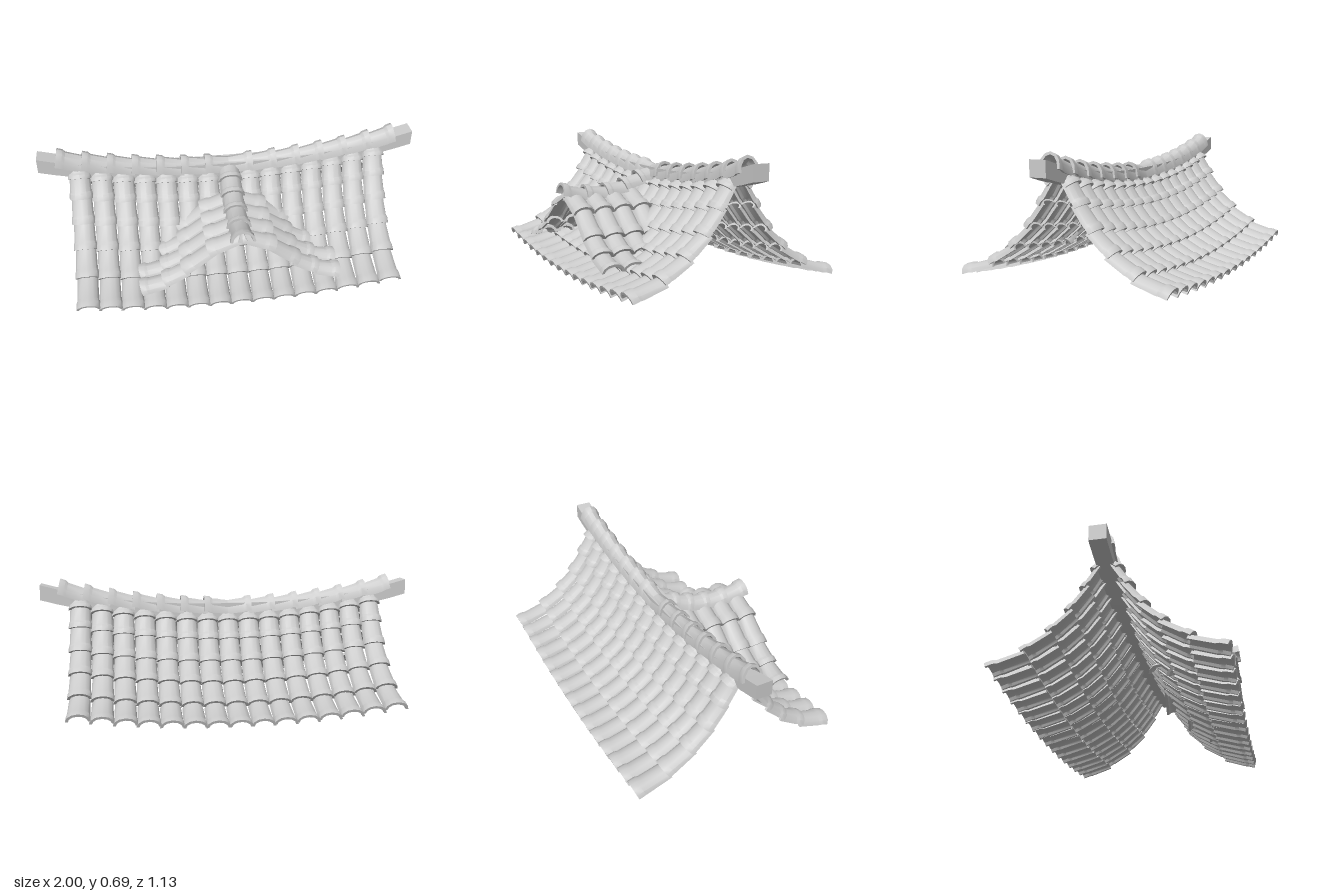
import * as THREE from 'three';
import { mergeGeometries, toCreasedNormals } from 'three/addons/utils/BufferGeometryUtils.js';

const V = (x, y, z) => new THREE.Vector3(x, y, z);
const ARC = 6;

// One barrel tile: a thick arch lofted from a to b, flaring towards b.
// a and b lie on the crown line; w is the half width, h the arch height.
function tile(a, b, side, w, h, thick = 0.014, overlap = 0.02) {
  const dir = b.clone().sub(a).normalize();
  const s = side.clone();
  const up = dir.clone().cross(s).normalize();
  if (up.y < 0) { up.negate(); s.negate(); }
  const start = a.clone().addScaledVector(dir, -overlap);
  const rings = [[0, 0.9, -0.012], [0.7, 0.96, -0.004], [0.8, 1.03, 0.002], [1, 1.05, 0.004]].map(([t, k, lift]) => {
    const base = start.clone().lerp(b, t).addScaledVector(up, lift - h);
    const arch = (rw, rh) => Array.from({ length: ARC + 1 }, (_, i) => {
      const ang = Math.PI * i / ARC;
      return base.clone().addScaledVector(s, Math.cos(ang) * rw).addScaledVector(up, Math.sin(ang) * rh);
    });
    return [...arch(w * k, h * k), ...arch(w * k - thick, h * k - thick).reverse()];
  });
  const pos = [];
  const quad = (p, q, r, t) => [p, q, r, p, r, t].forEach((v) => pos.push(v.x, v.y, v.z));
  const n = rings[0].length;
  for (let r = 0; r < rings.length - 1; r++) {
    for (let j = 0; j < n; j++) {
      const k = (j + 1) % n;
      quad(rings[r][j], rings[r][k], rings[r + 1][k], rings[r + 1][j]);
    }
  }
  const first = rings[0], last = rings[rings.length - 1];
  for (let j = 0; j < ARC; j++) {
    quad(last[j], last[j + 1], last[n - 2 - j], last[n - 1 - j]);
    quad(first[n - 1 - j], first[n - 2 - j], first[j + 1], first[j]);
  }
  const geo = new THREE.BufferGeometry();
  geo.setAttribute('position', new THREE.Float32BufferAttribute(pos, 3));
  return geo;
}

// A run of overlapping tiles following a list of points
function run(points, side, w, h) {
  return points.slice(1).map((p, i) => tile(points[i], p, side, w, h));
}

export function createModel() {
  const group = new THREE.Group();
  const material = new THREE.MeshStandardMaterial({ color: 0xcccccc });
  const add = (name, tiles) => {
    const mesh = new THREE.Mesh(toCreasedNormals(mergeGeometries(tiles), 0.6), material);
    mesh.name = name;
    group.add(mesh);
  };
  const X = V(1, 0, 0), Z = V(0, 0, 1);

  // Main slopes: 15 columns each, sweeping up towards the gable ends
  const slope = [[0.03, 0.54], [0.08, 0.48], [0.13, 0.385], [0.2, 0.28], [0.29, 0.19], [0.41, 0.11], [0.565, 0.055]];
  const columns = 15, pitch = 1.7 / columns;
  for (const [name, dz] of [['frontSlope', 1], ['backSlope', -1]]) {
    const tiles = [];
    for (let c = 0; c < columns; c++) {
      const x = (c - (columns - 1) / 2) * pitch;
      const e = (x / 0.8) ** 2;
      const pts = slope.map(([z, y], i) => V(x, y + e * (0.06 + 0.03 * (1 - i / 6)), z * dz));
      tiles.push(...run(pts, X, 0.059, 0.043));
    }
    add(name, tiles);
  }

  // Curved ridge beam with square ends
  const beam = new THREE.BoxGeometry(2, 0.08, 0.085, 24, 1, 1);
  const bp = beam.attributes.position;
  for (let i = 0; i < bp.count; i++) {
    bp.setY(i, bp.getY(i) + 0.52 + 0.115 * Math.abs(bp.getX(i)) ** 2.5);
  }
  add('ridgeBeam', [beam.toNonIndexed()].map((g) => g.deleteAttribute('uv').deleteAttribute('normal')));

  // Ridge caps, lapping outwards from the middle
  const caps = [];
  for (const dx of [1, -1]) {
    const pts = Array.from({ length: 8 }, (_, i) => {
      const x = i * 0.128;
      return V(x * dx, 0.588 + 0.105 * (x / 0.88) ** 2, 0);
    });
    caps.push(...run(pts, Z, 0.055, 0.075));
  }
  add('ridgeCaps', caps);

  // Front dormer: sideways columns, shorter where they meet the main slope
  const dormer = [[0.02, 0.47], [0.18, 0.39], [0.31, 0.275], [0.41, 0.21], [0.525, 0.17]];
  const rows = [[0.485, 4], [0.375, 4], [0.265, 3], [0.155, 2]];
  for (const [name, dx] of [['dormerLeftSlope', 1], ['dormerRightSlope', -1]]) {
    add(name, rows.flatMap(([z, count]) =>
      run(dormer.slice(0, count + 1).map(([x, y]) => V(x * dx, y, z)), Z, 0.057, 0.045)));
  }

  // Dormer ridge caps, running forward from the main ridge
  const dormerRidge = [[0.03, 0.57], [0.12, 0.535], [0.21, 0.5], [0.31, 0.48], [0.42, 0.478], [0.545, 0.495]];
  add('dormerRidgeCaps', run(dormerRidge.map(([z, y]) => V(0, y, z)), X, 0.062, 0.06));

  return group;
}
